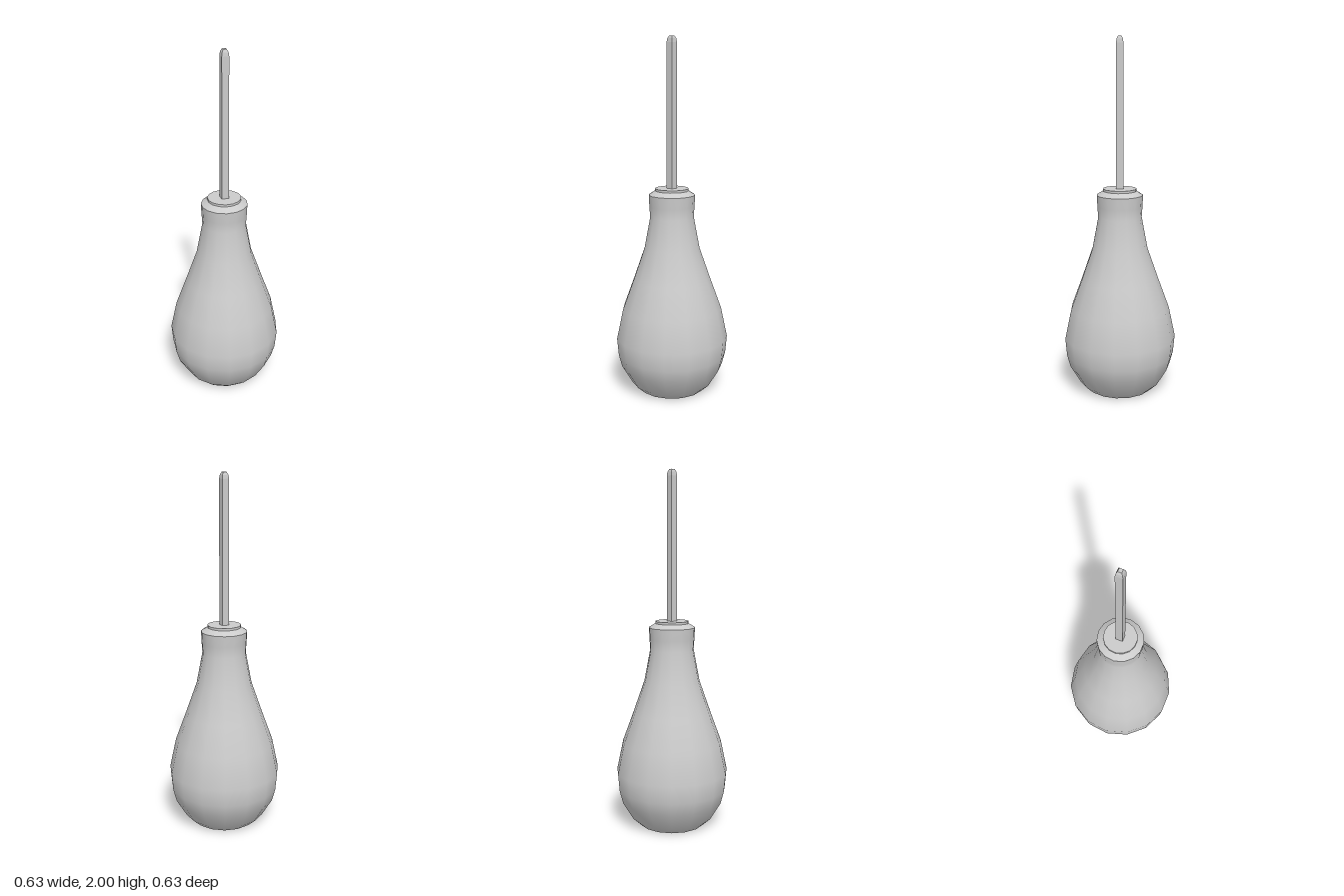
import * as THREE from 'three';

const SIDES = 15;
const smooth = new THREE.MeshStandardMaterial({ color: 0xcccccc });
const flat = new THREE.MeshStandardMaterial({ color: 0xcccccc, flatShading: true });

// Turned part from [radius, height] pairs, listed from bottom to top
function turned(name, profile, material = smooth, sides = SIDES, start = Math.PI) {
  const points = profile.map(([r, y]) => new THREE.Vector2(r, y));
  const mesh = new THREE.Mesh(new THREE.LatheGeometry(points, sides, start), material);
  mesh.name = name;
  return mesh;
}

export function createModel() {
  const model = new THREE.Group();
  model.name = 'awl';

  // Pear-shaped handle, with separate pieces at the hard edges
  const handle = new THREE.Group();
  handle.name = 'handle';
  handle.add(
    turned('handleBase', [[0, 0], [0.185, 0]], flat),
    turned('handleGrip', [
      [0.185, 0], [0.23, 0.04], [0.29, 0.14], [0.309, 0.21], [0.318, 0.31], [0.282, 0.48],
      [0.22, 0.65], [0.157, 0.83], [0.123, 1.01], [0.127, 1.07], [0.13, 1.135],
    ]),
    turned('handleShoulder', [[0.13, 1.135], [0.09, 1.16]]),
  );
  model.add(handle);

  // Thin collar disc around the blade
  const collar = new THREE.Group();
  collar.name = 'collar';
  collar.add(
    turned('collarUnderside', [[0, 1.158], [0.094, 1.158]], flat),
    turned('collarEdge', [[0.094, 1.158], [0.094, 1.171]]),
    turned('collarTop', [[0.094, 1.171], [0, 1.171]], flat),
  );
  model.add(collar);

  // Square blade with a blunt tapered tip; half-widths become corner radii
  const blade = [[0.02, 1.16], [0.02, 1.965], [0.017, 1.985], [0.01, 2], [0, 2]]
    .map(([half, y]) => [half * Math.SQRT2, y]);
  model.add(turned('blade', blade, flat, 4, Math.PI / 4));

  return model;
}
